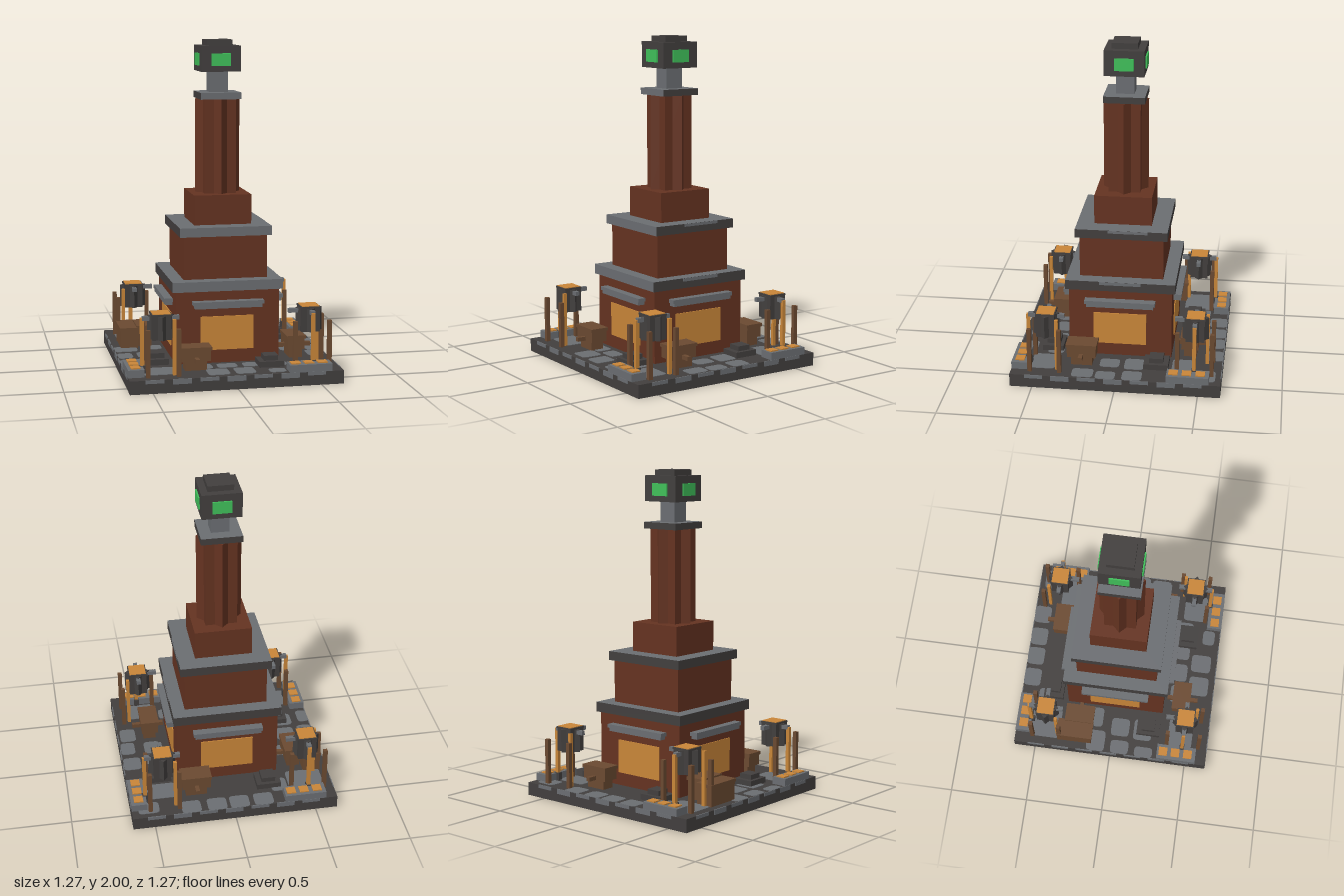
import * as THREE from 'three';

const mat = (name, color) => Object.assign(new THREE.MeshStandardMaterial({ color }), { name });

export function createModel() {
  const root = new THREE.Group();
  root.name = 'brickTower';
  const stone = mat('grey stone', 0x6b6e72);
  const dark = mat('dark stone', 0x423f3e);
  const brick = mat('red brick', 0x653321);
  const wood = mat('brown wood', 0x6b4a31);
  const copper = mat('glowing copper', 0xc98639);
  const green = mat('green glow', 0x40c05a);
  // stone slab whose sides and underside are dark
  const slab = [dark, dark, stone, dark, stone, dark];

  // box from a centre on the ground plane, bottom and top heights, and widths
  const box = (parent, name, m, x, z, y0, y1, w, d = w, turn = 0) => {
    const mesh = new THREE.Mesh(new THREE.BoxGeometry(w, y1 - y0, d), m);
    mesh.position.set(x, (y0 + y1) / 2, z);
    mesh.rotation.y = turn;
    mesh.name = name;
    parent.add(mesh);
    return mesh;
  };
  // eight-pointed column: two square prisms at 45 degrees
  const star = (parent, name, m, x, z, y0, y1, w) => {
    const g = new THREE.Group();
    g.name = name;
    for (const a of [0, Math.PI / 4]) box(g, name + 'Prism', m, x, z, y0, y1, w, w, a);
    parent.add(g);
  };

  // ground plate
  box(root, 'base', dark, 0, 0, 0, 0.08, 1.27);

  // rounded paving stones: x, z, width, depth
  const paving = [
    [-0.18, -0.58, 0.12, 0.11], [-0.03, -0.58, 0.12, 0.11], [0.11, -0.58, 0.12, 0.11], [0.27, -0.58, 0.12, 0.11],
    [-0.56, -0.1, 0.14, 0.12], [-0.4, -0.12, 0.13, 0.1], [-0.585, 0.06, 0.09, 0.12], [-0.45, 0.05, 0.12, 0.12],
    [0.43, -0.1, 0.13, 0.12], [0.575, -0.1, 0.11, 0.12], [0.43, 0.05, 0.1, 0.12], [0.585, 0.06, 0.09, 0.12],
    [-0.6, 0.22, 0.07, 0.12], [-0.45, 0.2, 0.14, 0.12], [-0.1, 0.53, 0.13, 0.13], [0.06, 0.53, 0.12, 0.13],
    [-0.17, 0.4, 0.12, 0.1], [-0.02, 0.4, 0.12, 0.09], [0.12, 0.4, 0.09, 0.09], [0.31, 0.4, 0.06, 0.1],
    [-0.47, -0.44, 0.22, 0.19], [-0.44, 0.45, 0.2, 0.16], [0.44, -0.4, 0.2, 0.14], [0.57, 0.2, 0.1, 0.13],
    [0.45, 0.45, 0.18, 0.15], [-0.3, -0.46, 0.1, 0.12], [0.53, -0.55, 0.13, 0.1], [0.25, 0.56, 0.1, 0.08]
  ];
  for (const [x, z, w, d] of paving) {
    const a = w / 2, b = d / 2, r = 0.025;
    const s = new THREE.Shape();
    s.moveTo(-a + r, -b).lineTo(a - r, -b).quadraticCurveTo(a, -b, a, -b + r);
    s.lineTo(a, b - r).quadraticCurveTo(a, b, a - r, b);
    s.lineTo(-a + r, b).quadraticCurveTo(-a, b, -a, b - r);
    s.lineTo(-a, -b + r).quadraticCurveTo(-a, -b, -a + r, -b);
    const geo = new THREE.ExtrudeGeometry(s, { depth: 0.004, bevelEnabled: false, curveSegments: 3 });
    const mesh = new THREE.Mesh(geo.rotateX(-Math.PI / 2), stone);
    mesh.position.set(x, 0.079, z);
    mesh.name = 'pavingStone';
    root.add(mesh);
  }

  // stacked tower with cornices
  box(root, 'lowerTower', brick, 0, 0, 0.08, 0.52, 0.63);
  box(root, 'lowerCornice', slab, 0, 0, 0.52, 0.58, 0.67);
  box(root, 'middleTower', brick, 0, 0, 0.58, 0.84, 0.51);
  box(root, 'middleCornice', slab, 0, 0, 0.84, 0.895, 0.56);
  box(root, 'upperTower', brick, 0, 0, 0.895, 1.075, 0.35);
  star(root, 'chimney', brick, 0, 0, 1.075, 1.645, 0.194);
  box(root, 'chimneyCap', slab, 0, 0, 1.645, 1.685, 0.25);
  box(root, 'neck', stone, 0, 0, 1.685, 1.81, 0.11);

  // lantern head
  box(root, 'lanternHead', dark, 0, 0, 1.81, 1.965, 0.24);
  box(root, 'lanternTop', dark, 0, 0, 1.965, 2.0, 0.155);

  // grey patches on the right-hand cornice faces
  box(root, 'cornicePatch', stone, 0.336, 0, 0.56, 0.579, 0.004, 0.25);
  box(root, 'cornicePatch', stone, 0.281, -0.04, 0.878, 0.894, 0.004, 0.24);

  // everything that repeats on the four sides
  for (let k = 0; k < 4; k++) {
    const side = new THREE.Group();
    side.name = 'side' + (k + 1);
    side.rotation.y = k * Math.PI / 2;
    root.add(side);

    // furnace opening, lintel and lantern window
    box(side, 'furnaceOpening', copper, -0.003, 0.317, 0.16, 0.365, 0.325, 0.008);
    box(side, 'lintel', stone, 0, 0.335, 0.42, 0.445, 0.41, 0.05);
    box(side, 'lintelTop', stone, 0, 0.339, 0.44, 0.462, 0.43, 0.052);
    box(side, 'lanternWindow', green, 0, 0.124, 1.845, 1.92, 0.115, 0.009);

    // stone edges on the rim of the base
    for (let i = 0; i < 7; i++) {
      const low = i % 2 ? 0.05 : 0.06;
      box(side, 'rimStone', stone, -0.49 + i * 0.16, 0.634, low, 0.081, 0.11, 0.006);
    }

    // tray with three glowing ingots
    box(side, 'tray', stone, -0.587, 0.437, 0.08, 0.125, 0.096, 0.255);
    for (const z of [0.35, 0.43, 0.512]) box(side, 'ingot', copper, -0.587, z, 0.124, 0.132, 0.056);
    box(side, 'trayLink', dark, -0.54, 0.47, 0.08, 0.128, 0.04, 0.03);

    // raised machine: fluted drum, glowing lid, arms and feed rods
    star(side, 'machineDrum', dark, -0.43, 0.47, 0.285, 0.425, 0.113);
    box(side, 'machineRim', dark, -0.43, 0.47, 0.425, 0.436, 0.118);
    box(side, 'machineLid', copper, -0.43, 0.47, 0.43, 0.44, 0.106);
    box(side, 'machineArm', stone, -0.43, 0.47, 0.395, 0.42, 0.22, 0.026);
    box(side, 'machineArm', stone, -0.43, 0.41, 0.395, 0.42, 0.026, 0.13);
    box(side, 'feedRod', copper, -0.54, 0.47, 0.08, 0.41, 0.022);
    box(side, 'feedRod', copper, -0.36, 0.54, 0.08, 0.41, 0.02);

    // timber posts around the machine
    for (const [x, z] of [[-0.52, 0.575], [-0.34, 0.575], [-0.52, 0.367]])
      box(side, 'post', wood, x, z, 0.08, 0.36, 0.025);

    // stepped stone block
    box(side, 'blockFoot', dark, -0.42, 0.235, 0.08, 0.115, 0.13, 0.15);
    box(side, 'blockTop', dark, -0.42, 0.235, 0.115, 0.145, 0.085);

    // crate on a cross beam
    box(side, 'crateFoot', wood, -0.22, 0.43, 0.08, 0.135, 0.13, 0.08);
    box(side, 'crateBeam', wood, -0.22, 0.435, 0.135, 0.16, 0.025, 0.2);
    box(side, 'crate', wood, -0.22, 0.428, 0.135, 0.2, 0.175, 0.105);
    box(side, 'crateLid', wood, -0.22, 0.428, 0.2, 0.22, 0.188, 0.117);
  }

  // extra crate by the left-hand wall
  box(root, 'spareCrate', wood, -0.533, -0.24, 0.08, 0.19, 0.105, 0.22);
  box(root, 'spareCrateLid', wood, -0.533, -0.24, 0.19, 0.21, 0.117, 0.232);
  return root;
}
